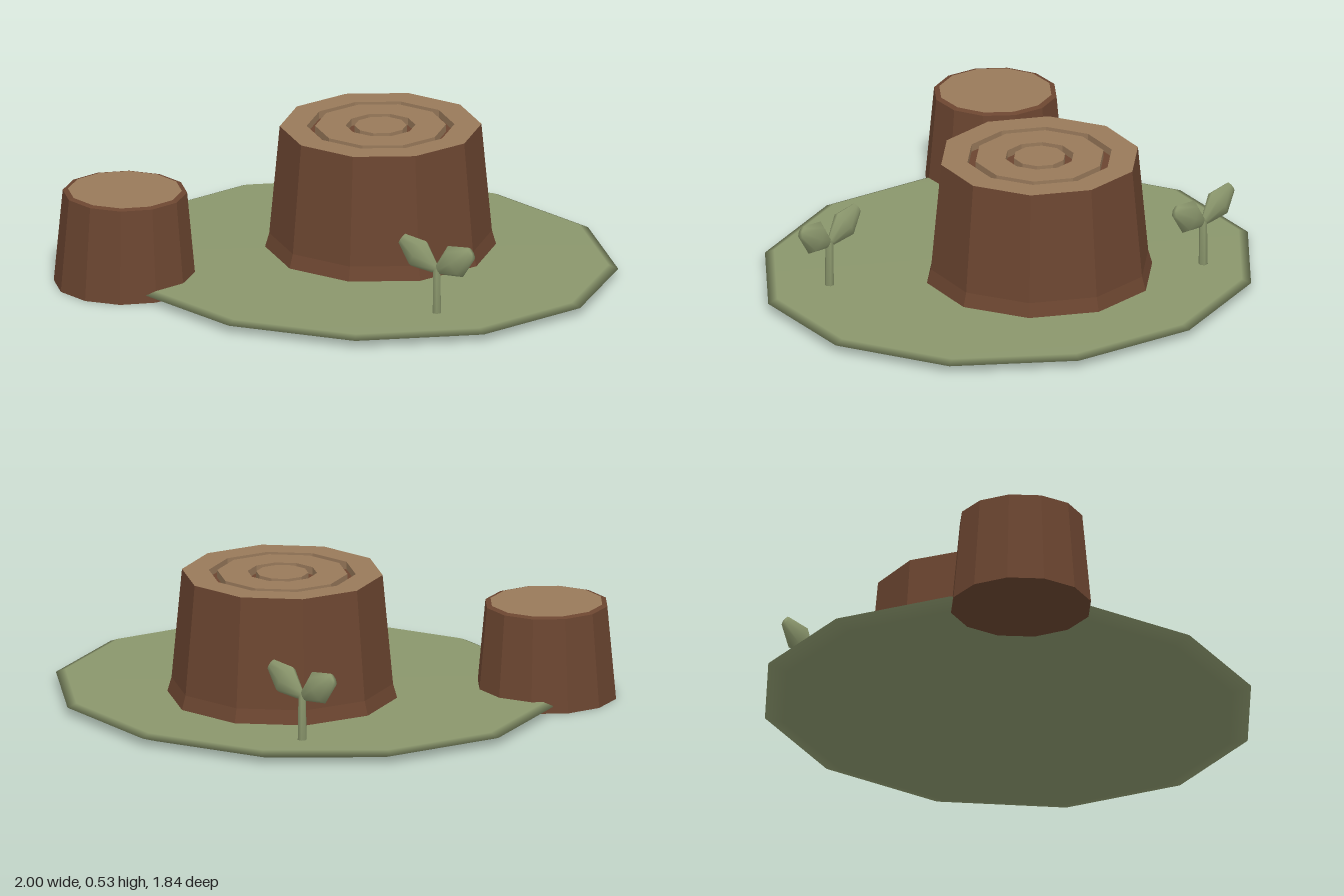
import * as THREE from 'three';

const material = (name, color, side = THREE.FrontSide) => {
  const m = new THREE.MeshStandardMaterial({ color, side });
  m.name = name;
  return m;
};
const bark = material('bark brown', 0x6b4530);
const wood = material('cut wood tan', 0x98795a);
const green = material('moss green', 0x8a966c);

// Faceted or smooth solid turned from [radius, height] points, one corner on +x
function turned(name, profile, sides, mat, flat = true) {
  const points = profile.map(([r, y]) => new THREE.Vector2(r, y));
  let geometry = new THREE.LatheGeometry(points, sides, Math.PI / 2);
  if (flat) {
    geometry = geometry.toNonIndexed();
    geometry.computeVertexNormals();
  }
  const mesh = new THREE.Mesh(geometry, mat);
  mesh.name = name;
  return mesh;
}

// Large stump: flared bark and a cut face with two ring grooves
function largeStump() {
  const group = new THREE.Group();
  group.name = 'largeStump';
  const top = 0.53, floor = 0.5;
  group.add(
    turned('largeBark', [[0, 0.03], [0.445, 0.03], [0.425, 0.1], [0.385, top]], 10, bark),
    turned('outerCutWood', [[0.385, top], [0.282, top], [0.282, floor]], 10, wood),
    turned('outerGrowthRing', [[0.282, floor], [0.25, floor]], 10, bark),
    turned('middleCutWood', [[0.25, floor], [0.25, top], [0.133, top], [0.133, floor]], 10, wood),
    turned('innerGrowthRing', [[0.133, floor], [0.1, floor]], 10, bark),
    turned('heartWood', [[0.1, floor], [0.1, top], [0, top]], 10, wood),
  );
  group.position.set(-0.017, 0, -0.145);
  return group;
}

// Small stump at the edge of the ground
function smallStump() {
  const group = new THREE.Group();
  group.name = 'smallStump';
  group.add(
    turned('smallBark', [[0, 0], [0.272, 0], [0.238, 0.365], [0.218, 0.371]], 12, bark),
    turned('smallCutWood', [[0.218, 0.371], [0, 0.371]], 12, wood),
  );
  group.position.set(-0.662, 0, 0.643);
  return group;
}

// Sprout: a thin stem with a pair of plump leaves
function sprout(x, z) {
  const group = new THREE.Group();
  group.name = 'sprout';
  group.add(turned('stem', [[0, 0.03], [0.018, 0.03], [0.015, 0.22], [0, 0.22]], 6, green, false));
  for (const side of [-1, 1]) {
    const leaf = turned('leaf',
      [[0, 0], [0.022, 0.012], [0.066, 0.1], [0.026, 0.187], [0, 0.19]], 8, green, false);
    leaf.scale.z = 0.58;
    leaf.rotation.z = -side * 1.02;
    leaf.position.set(0, 0.215, 0);
    group.add(leaf);
  }
  group.position.set(x, 0, z);
  return group;
}

export function createModel() {
  const model = new THREE.Group();
  model.name = 'treeStumps';

  // Thin oval ground with a tapered rim
  const ground = turned('ground',
    [[0, 0.005], [0.92, 0.005], [0.998, 0.03], [0.96, 0.045], [0, 0.045]], 12, green, false);
  ground.scale.z = 0.92;

  model.add(ground, largeStump(), smallStump(), sprout(0.597, 0.383), sprout(-0.494, -0.557));
  return model;
}
